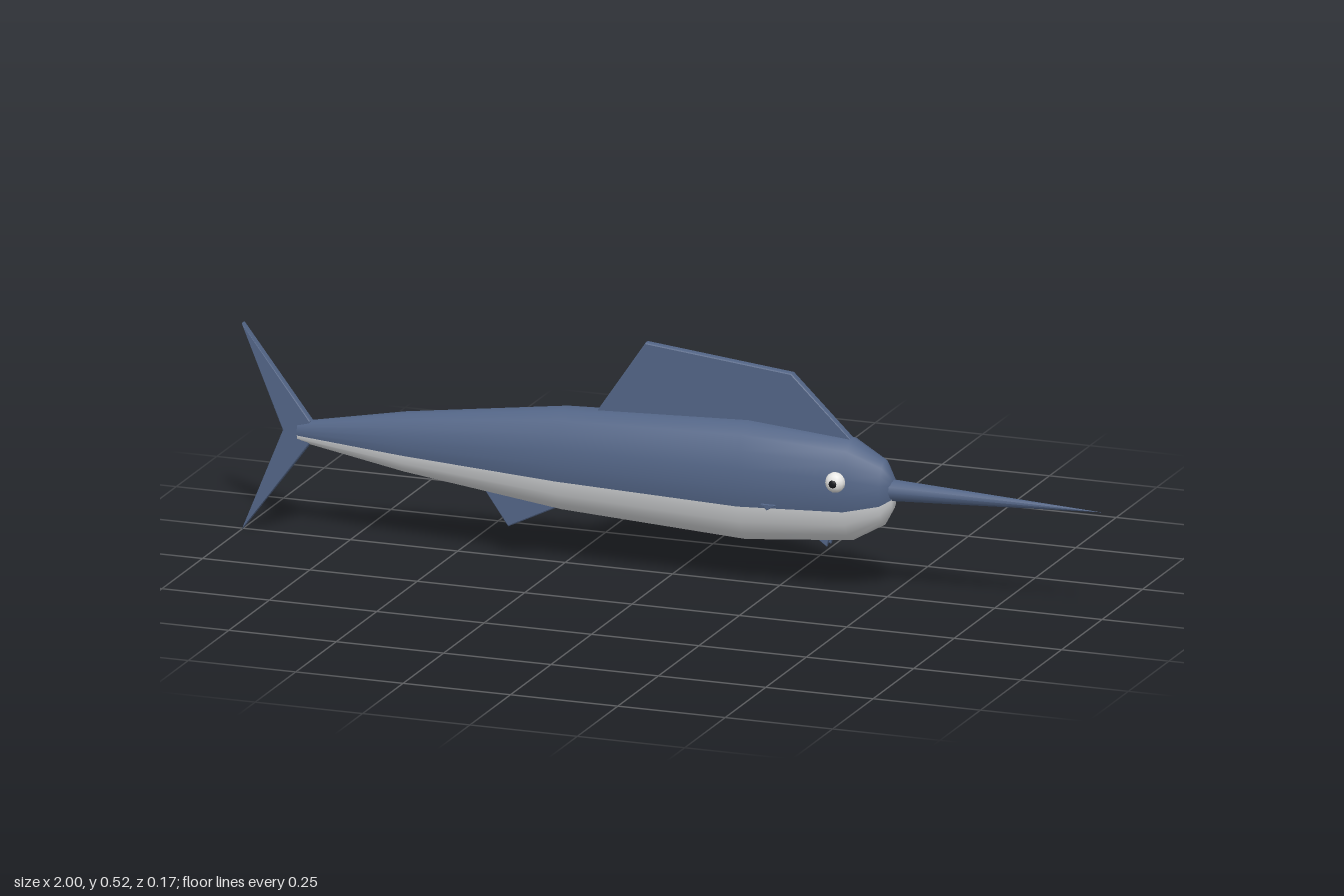
import * as THREE from 'three';

const mat = (name, color, side = THREE.FrontSide) => {
  const m = new THREE.MeshStandardMaterial({ color, side });
  m.name = name;
  return m;
};

export function createModel() {
  const blue = mat('slate blue', 0x526485);
  const white = mat('belly white', 0xd6d8da);
  const eyeWhite = mat('eye white', 0xf2f2f0);
  const black = mat('pupil black', 0x15171c);
  const model = new THREE.Group();
  model.name = 'billfish';

  const add = (name, geometry, material, parent = model) => {
    const mesh = new THREE.Mesh(geometry, material);
    mesh.name = name;
    parent.add(mesh);
    return mesh;
  };

  // Body: oval rings along x, each [x, bottom, top, half width]
  const stations = [
    [-0.875, 0.235, 0.235, 0.0005], [-0.87, 0.212, 0.257, 0.014],
    [-0.62, 0.168, 0.305, 0.041], [-0.25, 0.121, 0.356, 0.07],
    [0.18, 0.098, 0.373, 0.083], [0.42, 0.12, 0.353, 0.067],
    [0.495, 0.163, 0.31, 0.04], [0.515, 0.2, 0.272, 0.02],
    [0.518, 0.236, 0.236, 0.0005],
  ];
  const SIDES = 20, BACK = 12;
  const positions = [], backFaces = [], bellyFaces = [];
  for (const [x, low, high, width] of stations) {
    for (let j = 0; j < SIDES; j++) {
      const t = ((j - 1) / SIDES) * Math.PI * 2;
      positions.push(x, (low + high) / 2 + ((high - low) / 2) * Math.sin(t), width * Math.cos(t));
    }
  }
  for (let i = 0; i < stations.length - 1; i++) {
    for (let j = 0; j < SIDES; j++) {
      const a = i * SIDES + j, d = i * SIDES + ((j + 1) % SIDES);
      const b = a + SIDES, c = d + SIDES;
      (j < BACK ? backFaces : bellyFaces).push(a, b, c, a, c, d);
    }
  }
  const body = new THREE.BufferGeometry();
  body.setAttribute('position', new THREE.Float32BufferAttribute(positions, 3));
  body.setIndex([...backFaces, ...bellyFaces]);
  body.addGroup(0, backFaces.length, 0);
  body.addGroup(backFaces.length, bellyFaces.length, 1);
  body.computeVertexNormals();
  add('body', body, [blue, white]);

  // Spear-shaped bill
  const bill = add('bill', new THREE.ConeGeometry(0.025, 0.5, 12), blue);
  bill.rotation.z = -Math.PI / 2;
  bill.position.set(0.75, 0.243, 0);

  // Flat fins with slightly rounded rims
  const fin = (name, points, thickness = 0.02, parent = model) => {
    const bevel = thickness * 0.25;
    const geometry = new THREE.ExtrudeGeometry(
      new THREE.Shape(points.map(([x, y]) => new THREE.Vector2(x, y))),
      {
        depth: thickness - 2 * bevel, bevelEnabled: true, bevelThickness: bevel,
        bevelSize: bevel * 0.6, bevelOffset: -bevel * 0.6, bevelSegments: 2,
      });
    geometry.translate(0, 0, bevel - thickness / 2);
    return add(name, geometry, blue, parent);
  };
  fin('dorsalFin', [[-0.19, 0.33], [0.44, 0.33], [0.28, 0.486], [-0.06, 0.521]]);
  fin('tailFin', [[-1, 0], [-0.84, 0.212], [-0.84, 0.262], [-1, 0.468], [-0.905, 0.235]]);
  fin('analFin', [[-0.45, 0.17], [-0.38, 0.07], [-0.26, 0.128], [-0.28, 0.17]]);

  // Paired eyes and small lower fins
  for (const side of [1, -1]) {
    const label = side > 0 ? 'left' : 'right';
    const eye = new THREE.Group();
    eye.name = label + 'Eye';
    eye.position.set(0.403, 0.267, side * 0.064);
    model.add(eye);
    add('eyeball', new THREE.SphereGeometry(0.023, 12, 8), eyeWhite, eye).scale.z = 0.85;
    const pupil = add('pupil', new THREE.SphereGeometry(0.009, 10, 6), black, eye);
    pupil.scale.z = 0.4;
    pupil.position.z = side * 0.0175;

    const pectoral = fin(label + 'PectoralFin', [[0.235, 0.205], [0.25, 0.192], [0.27, 0.205]], 0.008);
    pectoral.position.z = side * 0.078;
    const pelvic = fin(label + 'PelvicFin', [[0.33, 0.13], [0.365, 0.104], [0.372, 0.13]], 0.012);
    pelvic.position.z = side * 0.012;
  }
  return model;
}
